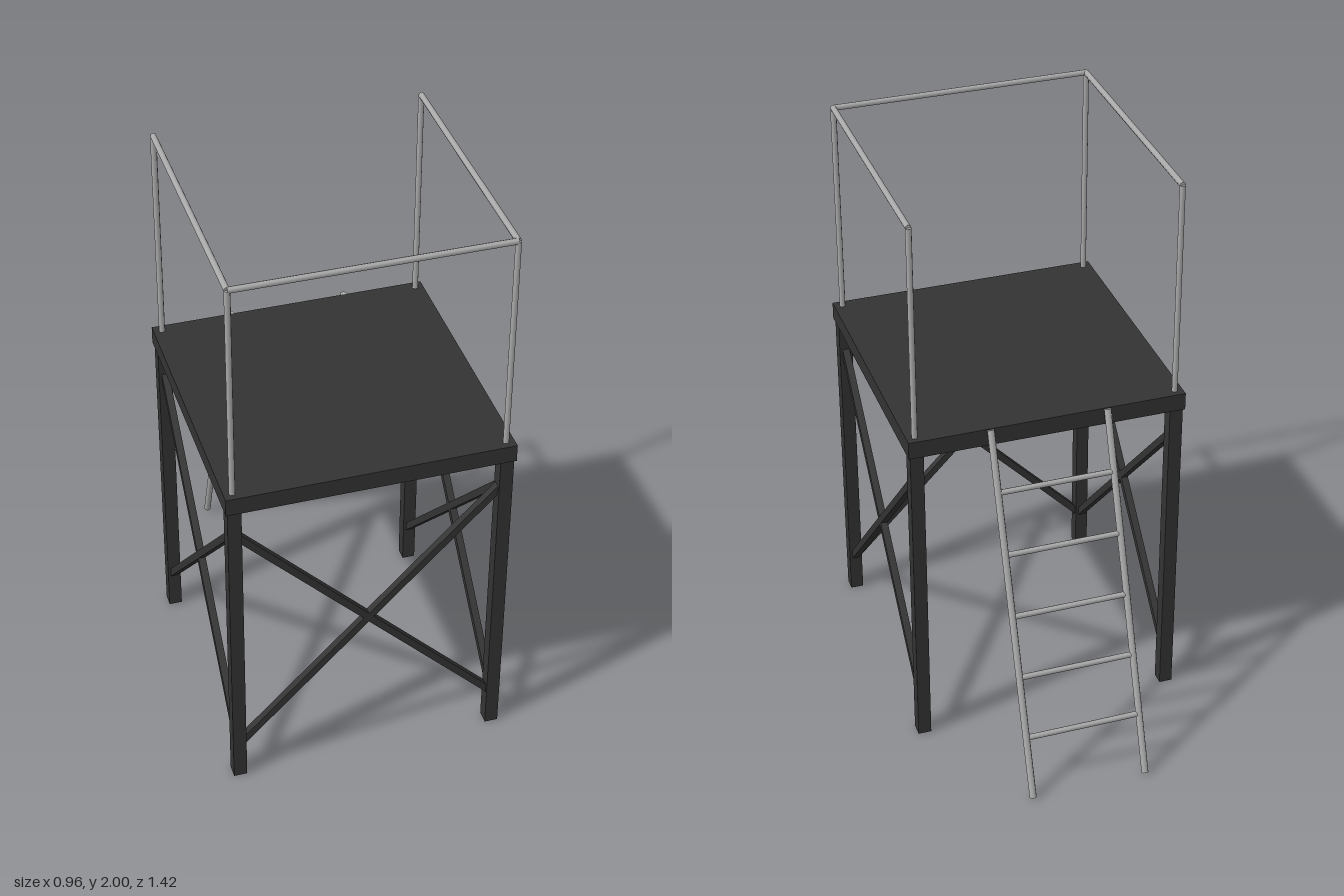
import * as THREE from 'three';

export function createModel() {
  const model = new THREE.Group();
  model.name = 'platformTower';

  const dark = new THREE.MeshStandardMaterial({ color: 0x333333 });
  dark.name = 'dark frame';
  const steel = new THREE.MeshStandardMaterial({ color: 0xaaaaaa });
  steel.name = 'grey steel';

  const up = new THREE.Vector3(0, 1, 0);
  const V = (x, y, z) => new THREE.Vector3(x, y, z);

  function add(name, geometry, material, position) {
    const mesh = new THREE.Mesh(geometry, material);
    mesh.name = name;
    mesh.position.copy(position);
    model.add(mesh);
    return mesh;
  }

  // A bar running from a to b: square section or round tube
  function bar(name, a, b, size, material, round) {
    const dir = b.clone().sub(a);
    const length = dir.length();
    const geometry = round
      ? new THREE.CylinderGeometry(size, size, length, 8)
      : new THREE.BoxGeometry(size, length, size);
    const mesh = add(name, geometry, material, a.clone().add(b).multiplyScalar(0.5));
    mesh.quaternion.setFromUnitVectors(up, dir.normalize());
  }

  const cz = 0.225;      // centre of the deck in z
  const h = 0.453;       // half distance between legs
  const front = cz + h, back = cz - h;
  const deckBottom = 1.16, deckTop = 1.222, railY = 1.989;

  // Deck
  add('deck', new THREE.BoxGeometry(0.964, deckTop - deckBottom, 0.964), dark,
    V(0, (deckTop + deckBottom) / 2, cz));

  // Legs and railing posts at the four corners
  for (const x of [-h, h]) {
    for (const z of [front, back]) {
      add('leg', new THREE.BoxGeometry(0.046, deckBottom, 0.046), dark, V(x, deckBottom / 2, z));
      bar('railPost', V(x, deckTop, z), V(x, railY, z), 0.0105, steel, true);
    }
    bar('sideRail', V(x, railY, back), V(x, railY, front), 0.0105, steel, true);
  }
  bar('frontRail', V(-h, railY, front), V(h, railY, front), 0.0105, steel, true);

  // Crossed braces on the front and both sides; the ladder side is open
  const low = 0.13, high = 1.06;
  for (const s of [-1, 1]) {
    bar('frontBrace', V(-s * h, low, front), V(s * h, high, front), 0.025, dark, false);
    for (const x of [-h, h]) {
      bar('sideBrace', V(x, low, cz - s * h), V(x, high, cz + s * h), 0.025, dark, false);
    }
  }

  // Leaning ladder at the back
  const foot = V(0, 0.004, -0.697), head = V(0, 1.22, -0.26);
  const halfWidth = 0.203;
  for (const x of [-halfWidth, halfWidth]) {
    bar('ladderRail', foot.clone().setX(x), head.clone().setX(x), 0.0125, steel, true);
  }
  for (let i = 1; i <= 5; i++) {
    const p = foot.clone().lerp(head, i / 6);
    bar('ladderRung', p.clone().setX(-halfWidth), p.clone().setX(halfWidth), 0.01, steel, true);
  }

  return model;
}
